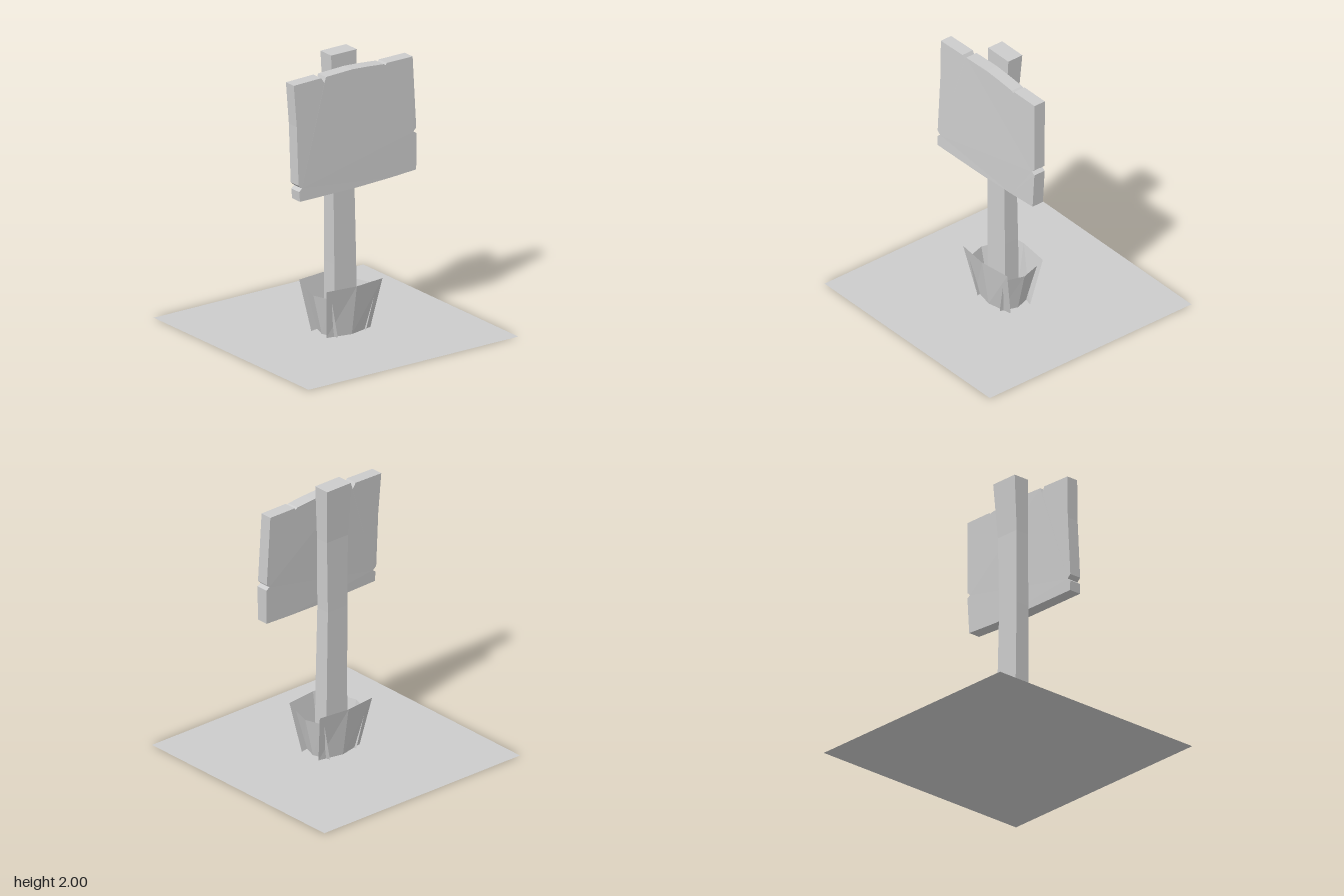
import * as THREE from 'three';

const solid = new THREE.MeshStandardMaterial({ color: 0xcccccc, flatShading: true });
const thin = new THREE.MeshStandardMaterial({ color: 0xcccccc, flatShading: true, side: THREE.DoubleSide });

function add(group, name, geometry, material) {
  const mesh = new THREE.Mesh(geometry, material);
  mesh.name = name;
  group.add(mesh);
}

// Moves every vertex by a rule, then refreshes the normals
function reshape(geometry, rule) {
  const pos = geometry.attributes.position;
  const v = new THREE.Vector3();
  for (let i = 0; i < pos.count; i++) {
    rule(v.fromBufferAttribute(pos, i));
    pos.setXYZ(i, v.x, v.y, v.z);
  }
  geometry.computeVertexNormals();
  return geometry;
}

// Square post, slightly crooked: each level is [y, x min, x max, z min, z max]
function postGeometry() {
  const levels = [
    [0, -0.015, 0.105, -0.1, 0.09],
    [0.5, -0.012, 0.103, -0.093, 0.09],
    [1.07, -0.008, 0.1, -0.08, 0.095],
    [1.6, -0.01, 0.092, -0.09, 0.098],
    [2, -0.035, 0.087, -0.11, 0.105],
  ];
  const last = levels.length - 1;
  return reshape(new THREE.BoxGeometry(1, 1, 1, 1, last, 1), (v) => {
    const [y, x0, x1, z0, z1] = levels[Math.round((v.y + 0.5) * last)];
    v.set(v.x < 0 ? x0 : x1, y, v.z < 0 ? z0 : z1);
  });
}

// Weathered board with notches; outline points are [z, y]
function boardGeometry() {
  const outline = [
    [0.49, 1.895], [0.26, 1.9], [0.235, 1.86], [0.22, 1.9], [0, 1.907], [-0.12, 1.9],
    [-0.265, 1.887], [-0.28, 1.877], [-0.29, 1.89], [-0.507, 1.89], [-0.525, 1.38],
    [-0.5, 1.357], [-0.527, 1.34], [-0.518, 1.083], [-0.3, 1.073], [0, 1.066], [0.47, 1.07],
    [0.475, 1.14], [0.45, 1.16], [0.478, 1.185], [0.477, 1.6],
  ];
  const shape = new THREE.Shape(outline.map(([z, y]) => new THREE.Vector2(-z, y)));
  const geometry = new THREE.ExtrudeGeometry(shape, { depth: 0.09, bevelEnabled: false });
  geometry.rotateY(Math.PI / 2);
  // Lean outwards towards the bottom, a little more at the front end
  return reshape(geometry, (v) => {
    v.x += 0.094 + (1.9 - v.y) * (0.043 + 0.011 * v.z / 0.5);
  });
}

// Bowed, outward-flaring card facing +z
function cardGeometry({ height, bottom, top }) {
  return reshape(new THREE.PlaneGeometry(2, 1, 2, 1), (v) => {
    const row = v.y > 0 ? top : bottom;
    const centre = Math.abs(v.x) < 0.1;
    v.set(v.x * row.half, v.y > 0 ? height : 0, centre ? row.middle : row.ends);
  });
}

export function createModel() {
  const group = new THREE.Group();
  group.name = 'signpost';

  const ground = new THREE.PlaneGeometry(1.76, 1.76).rotateX(-Math.PI / 2);
  add(group, 'ground', ground, thin);
  add(group, 'post', postGeometry(), solid);
  add(group, 'board', boardGeometry(), solid);

  // Grass cards around the foot of the post
  const low = {
    height: 0.29,
    bottom: { half: 0.125, middle: 0.16, ends: 0.118 },
    top: { half: 0.145, middle: 0.23, ends: 0.185 },
  };
  const tall = {
    height: 0.36,
    bottom: { half: 0.185, middle: 0.125, ends: 0.085 },
    top: { half: 0.235, middle: 0.182, ends: 0.155 },
  };
  const grass = new THREE.Group();
  grass.name = 'grass';
  grass.position.set(0.048, 0, -0.005);
  ['front', 'left', 'back', 'right'].forEach((side, i) => {
    const geometry = cardGeometry(i % 2 ? tall : low).rotateY(i * Math.PI / 2);
    add(grass, side + 'Grass', geometry, thin);
  });
  group.add(grass);
  return group;
}
